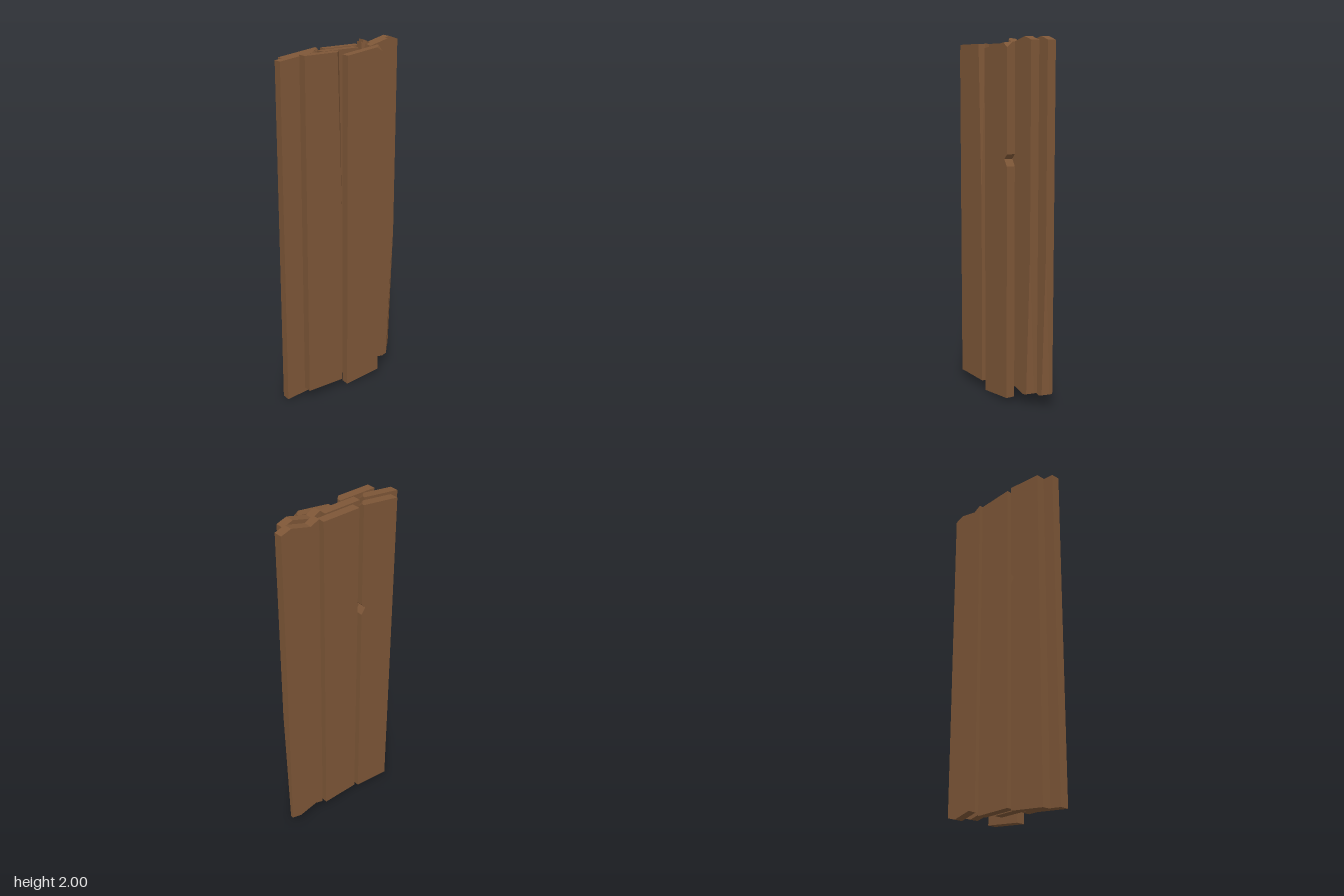
import * as THREE from 'three';

const W = 0.228, T = 0.05;

// Piecewise-linear height along a plank's width
const profile = (pts) => (s) => {
  for (let i = 1; i < pts.length; i++) {
    const [a, ya] = pts[i - 1], [b, yb] = pts[i];
    if (s <= b + 1e-6) return ya + (yb - ya) * (s - a) / (b - a);
  }
  return pts[pts.length - 1][1];
};
const level = (y) => () => y;

// A row is one cross-section: y(s) height, d / e chip sizes at the back / front
// corner, cut removes that corner, notch pushes the back edge in, dip lowers it.
function plankGeometry(inner, rows) {
  const layers = rows.map(({ y, d = 0, e = 0, cut = false, notch = 0, dip = 0 }) => {
    const st = [0, d, ...inner, W - e, W], n = st.length - 1;
    return st.map((s, i) => [0, 1, 2].map((j) => {
      let x = j === 0 ? 0 : j === 2 ? T : T - (i < 2 ? d : i > n - 2 ? e : 0.02);
      let z = s, h = y(s);
      if (i === 0) z += notch;
      if (j === 2 && i === 0) {
        h -= dip;
        if (cut) { x -= d / 2; z += d / 2; h = y(z); }
      }
      if (j === 2 && i === n && cut) { x -= e / 2; z -= e / 2; h = y(z); }
      return [x - T / 2, h, z - W / 2];
    }));
  });
  const pos = [];
  const tri = (a, b, c) => pos.push(...a, ...b, ...c);
  const n = layers[0].length - 1;
  // Outer walls between neighbouring sections
  const rim = (g) => [...g.map((r) => r[0]), g[n][1], ...g.map((r) => r[2]).reverse(), g[0][1]];
  for (let k = 0; k + 1 < layers.length; k++) {
    const lo = rim(layers[k]), hi = rim(layers[k + 1]);
    lo.forEach((p, i) => {
      const q = (i + 1) % lo.length;
      tri(p, lo[q], hi[q]);
      tri(p, hi[q], hi[i]);
    });
  }
  // End caps
  const cap = (g, up) => {
    const put = (a, b, c) => (up ? tri(a, b, c) : tri(a, c, b));
    for (let i = 0; i < n; i++) for (let j = 0; j < 2; j++) {
      const a = g[i][j], b = g[i][j + 1], c = g[i + 1][j + 1], d = g[i + 1][j];
      if (i < n - 1) { put(a, d, c); put(a, c, b); }
      else { put(a, d, b); put(b, d, c); }
    }
  };
  cap(layers[0], false);
  cap(layers[layers.length - 1], true);
  const geo = new THREE.BufferGeometry();
  geo.setAttribute('position', new THREE.Float32BufferAttribute(pos, 3));
  geo.computeVertexNormals();
  return geo;
}

export function createModel() {
  const group = new THREE.Group();
  group.name = 'plankStack';
  const wood = new THREE.MeshStandardMaterial({ color: 0x7d5637, flatShading: true });
  wood.name = 'brown wood';

  // Jagged plank with a long split at its foot
  const jagged = plankGeometry([0.06, 0.178], [
    { y: profile([[0, 0.08], [0.06, 0.062], [0.178, 0.088], [W, 0.07]]), d: 0.03, cut: true },
    { y: level(0.85) },
    { y: level(1.7) },
    { y: profile([[0, 1.98], [0.06, 2], [0.178, 1.97], [W, 1.995]]), e: 0.014, cut: true },
  ]);
  // Slanted plank with an edge notch and a chipped top corner
  const d = 0.036;
  const notched = plankGeometry([0.12], [
    { y: profile([[0, 0.025], [W, 0]]), d },
    { y: level(1.32), d },
    { y: level(1.358), d, notch: 0.025 },
    { y: level(1.385), d },
    { y: profile([[0, 1.975], [W, 1.945]]), d, dip: 0.03 },
  ]);
  // Square plank, whole or with a split running down from the top
  const square = plankGeometry([0.12], [{ y: level(0.045) }, { y: level(1.97) }]);
  const split = plankGeometry([0.12], [
    { y: level(0.045) }, { y: level(1.1) }, { y: level(1.97), d: 0.027, cut: true },
  ]);

  const planks = [
    ['jaggedPlank', jagged, -0.061, -0.287], ['squarePlank', square, -0.061, -0.031],
    ['notchedPlank', notched, -0.061, 0.227],
    ['jaggedPlank', jagged, 0.002, -0.229], ['squarePlank', square, 0.002, 0.028],
    ['notchedPlank', notched, 0.002, 0.286],
    ['notchedPlank', notched, 0.06, -0.09], ['splitPlank', split, 0.06, 0.176],
  ];
  planks.forEach(([name, geo, x, z], i) => {
    const mesh = new THREE.Mesh(geo, wood);
    mesh.name = name + (i + 1);
    mesh.position.set(x, 0, z);
    group.add(mesh);
  });
  return group;
}
